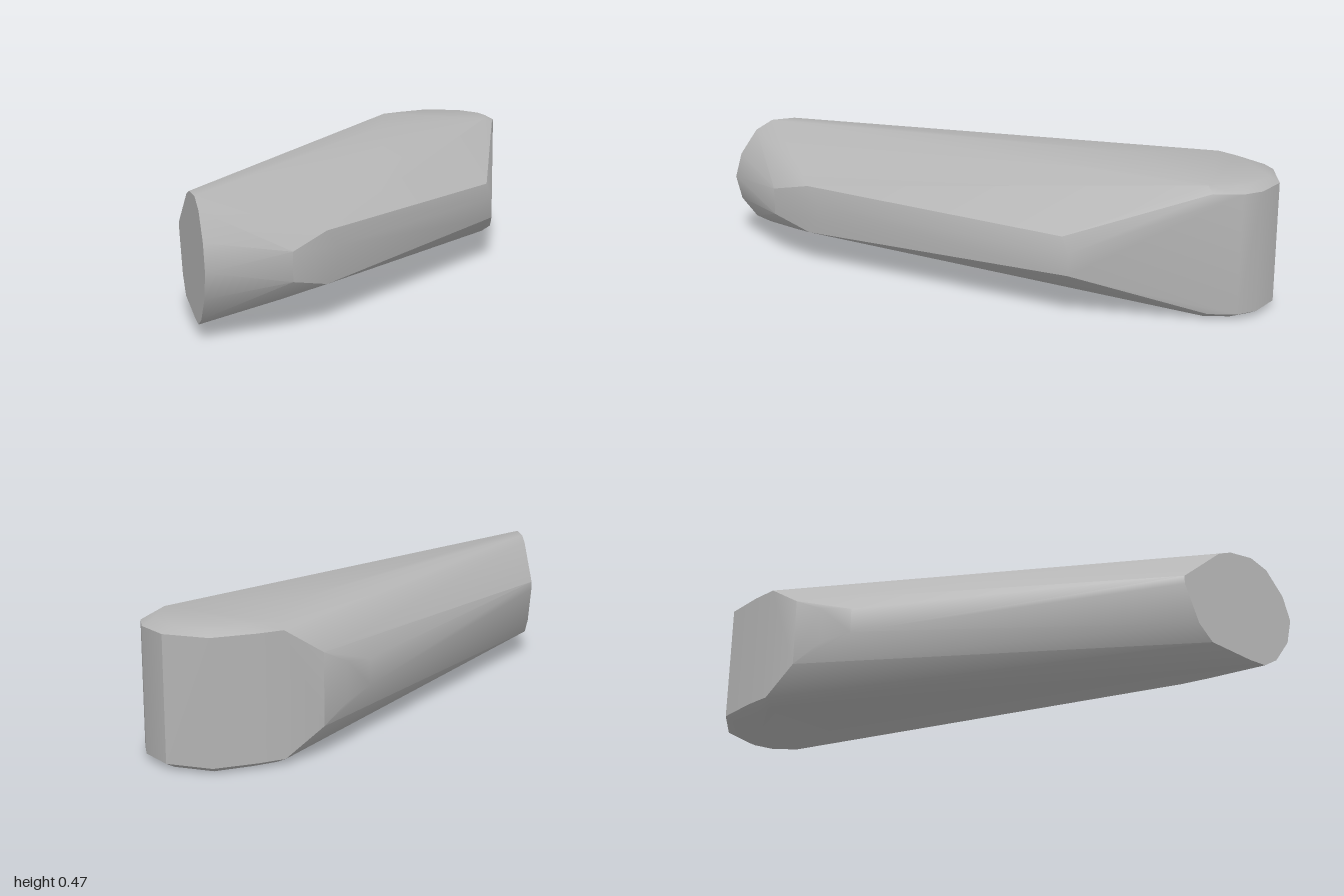
import * as THREE from 'three';
import { ConvexGeometry } from 'three/addons/geometries/ConvexGeometry.js';
import { toCreasedNormals } from 'three/addons/utils/BufferGeometryUtils.js';

export function createModel() {
  const grey = new THREE.MeshStandardMaterial({ color: 0xb4b4b4 });
  grey.name = 'stone grey';
  const points = [];
  const add = (x, y, z) => points.push(new THREE.Vector3(x, y, z));

  // blunt back end: upright wall, slightly inset at the top and bottom
  const backOutline = [[0.485, -0.76], [0.487, -0.86], [0.45, -0.93], [0.35, -1], [0.19, -1], [0.07, -0.91], [0, -0.845]];
  for (const [x, z] of backOutline) {
    add(x, 0.02, z);
    add(x, 0.45, z);
    const ix = 0.25 + (x - 0.25) * 0.86, iz = -0.6 + (z + 0.6) * 0.92;
    add(ix, 0, iz);
    add(ix, 0.47, iz);
  }
  // forward edge of the flat top and bottom
  for (const y of [0, 0.47]) add(0.06, y, -0.5);

  // widest points along both flanks: x, z, then the heights on that line
  const flanks = [
    [0.505, -0.28, 0.16, 0.24], [0.485, -0.26, 0.295],
    [-0.1, -0.75, 0.11, 0.36], [-0.15, -0.66, 0.17, 0.31], [-0.195, -0.55, 0.2, 0.29],
    [0.0, 0.67, 0.13, 0.31], [0.03, 0.63, 0.19, 0.25],
    [-0.09, 0.81, 0.17, 0.27], [-0.15, 0.74, 0.09, 0.37],
  ];
  for (const [x, z, ...heights] of flanks) for (const y of heights) add(x, y, z);

  // slanted flat cap at the front, following z as a rule of x
  const cap = [
    [-0.51, 0.31], [-0.45, 0.435], [-0.43, 0.453], [-0.395, 0.453], [-0.37, 0.42], [-0.345, 0.33], [-0.335, 0.24],
    [-0.343, 0.15], [-0.365, 0.07], [-0.385, 0.04], [-0.41, 0.047], [-0.47, 0.08], [-0.49, 0.14], [-0.51, 0.28],
  ];
  for (const [x, y] of cap) add(x, y, 0.59 + (x + 0.51) * 2.343);

  const body = new THREE.Mesh(toCreasedNormals(new ConvexGeometry(points), 0.6), grey);
  body.name = 'body';
  const group = new THREE.Group();
  group.name = 'bluntStone';
  group.add(body);
  return group;
}
